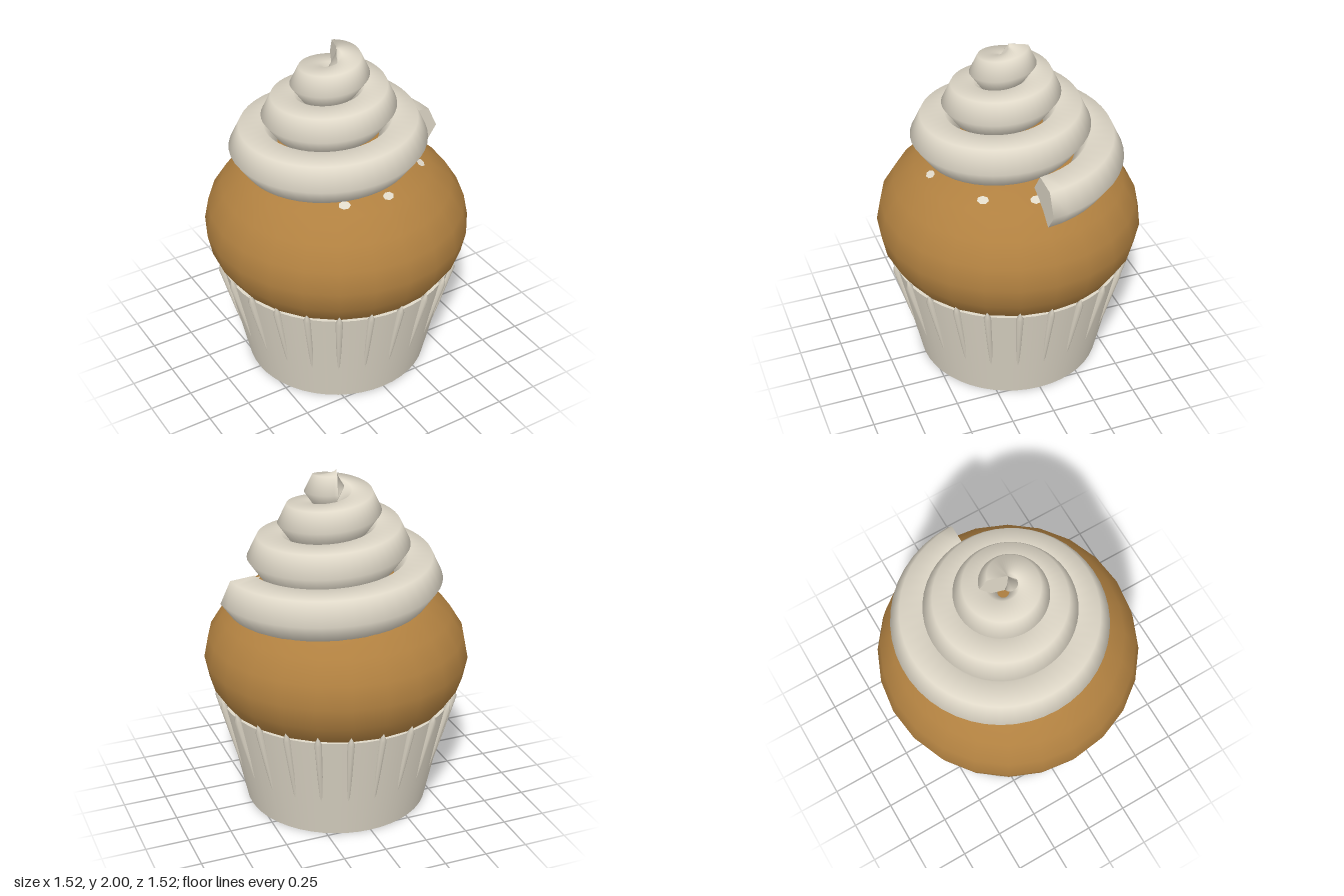
import * as THREE from 'three';

const CAKE = { r: 0.76, h: 0.5, y: 0.91 };

// Hexagonal tube winding up a shrinking spiral, closed at both ends
function spiralFrosting() {
  const steps = 150, sides = 6, turns = 3.2;
  const pos = [], idx = [], rings = [], centres = [];
  const lerp = THREE.MathUtils.lerp;
  const stops = { R: [0.545, 0.355, 0.195, 0.06, 0.0], r: [0.14, 0.136, 0.122, 0.108, 0.09], y: [1.32, 1.51, 1.71, 1.89, 1.98] };
  const at = (list, t) => lerp(list[Math.floor(t)], list[Math.floor(t) + 1], t % 1);
  for (let i = 0; i <= steps; i++) {
    const t = turns * i / steps, th = t * Math.PI * 2;
    const R = at(stops.R, t), r = at(stops.r, t), y = at(stops.y, t);
    const ring = [];
    for (let k = 0; k < sides; k++) {
      const a = k / sides * Math.PI * 2 - 0.08;
      const d = R + r * Math.cos(a);
      ring.push([d * Math.cos(th), y + r * Math.sin(a), -d * Math.sin(th)]);
    }
    rings.push(ring);
    centres.push([R * Math.cos(th), y, -R * Math.sin(th)]);
    ring.forEach(p => pos.push(...p));
  }
  for (let i = 0; i < steps; i++) {
    for (let k = 0; k < sides; k++) {
      const n = (k + 1) % sides;
      const a = i * sides + k, b = i * sides + n, c = a + sides, d = b + sides;
      idx.push(a, c, b, b, c, d);
    }
  }
  // End caps with their own vertices, so their rims stay sharp
  const cap = (i, flip) => {
    const base = pos.length / 3;
    pos.push(...centres[i]);
    rings[i].forEach(p => pos.push(...p));
    for (let k = 0; k < sides; k++) {
      const a = base + 1 + k, b = base + 1 + (k + 1) % sides;
      idx.push(base, flip ? b : a, flip ? a : b);
    }
  };
  cap(0, false);
  cap(steps, true);
  const g = new THREE.BufferGeometry();
  g.setAttribute('position', new THREE.Float32BufferAttribute(pos, 3));
  g.setIndex(idx);
  g.computeVertexNormals();
  return g;
}

export function createModel() {
  const model = new THREE.Group();
  model.name = 'cupcake';
  const cream = new THREE.MeshStandardMaterial({ name: 'cream', color: 0xdfd8c8, side: THREE.DoubleSide });
  const sponge = new THREE.MeshStandardMaterial({ name: 'sponge brown', color: 0xb08040 });
  const add = (name, geometry, material, parent = model) => {
    const m = new THREE.Mesh(geometry, material);
    m.name = name;
    parent.add(m);
    return m;
  };

  // Paper cup
  const cup = add('paperCup', new THREE.CylinderGeometry(0.677, 0.535, 0.665, 48), cream);
  cup.position.y = 0.3325;

  // Pleats around the cup, sinking into it toward the bottom
  const pleats = new THREE.Group();
  pleats.name = 'pleats';
  model.add(pleats);
  const pleatShape = new THREE.LatheGeometry(
    [[0.006, 0], [0.014, 0.2], [0.021, 0.5], [0, 0.55]].map(p => new THREE.Vector2(...p)), 8);
  for (let i = 0; i < 24; i++) {
    const arm = new THREE.Group();
    arm.name = 'pleatArm';
    arm.rotation.y = i / 24 * Math.PI * 2;
    pleats.add(arm);
    const pleat = add('pleat', pleatShape, cream, arm);
    pleat.position.set(0.562, 0.18, 0);
    pleat.rotation.z = -0.25;
  }

  // Sponge dome
  const cake = add('cake', new THREE.SphereGeometry(CAKE.r, 24, 12), sponge);
  cake.scale.y = CAKE.h / CAKE.r;
  cake.position.y = CAKE.y;

  // Piped frosting
  add('frosting', spiralFrosting(), cream);

  // Small dabs of cream on the dome just below the frosting
  const dab = new THREE.CircleGeometry(1, 7);
  for (const deg of [-26, 5, 53, 88]) {
    const a = THREE.MathUtils.degToRad(deg), y = 0.39;
    const r = CAKE.r * Math.sqrt(1 - (y / CAKE.h) ** 2);
    const p = new THREE.Vector3(r * Math.sin(a), CAKE.y + y, r * Math.cos(a));
    const n = new THREE.Vector3(p.x / CAKE.r ** 2, y / CAKE.h ** 2, p.z / CAKE.r ** 2);
    const m = add('creamDab', dab, cream);
    m.position.copy(p);
    m.lookAt(p.clone().add(n));
    m.scale.set(0.034, 0.026, 1);
  }
  return model;
}
